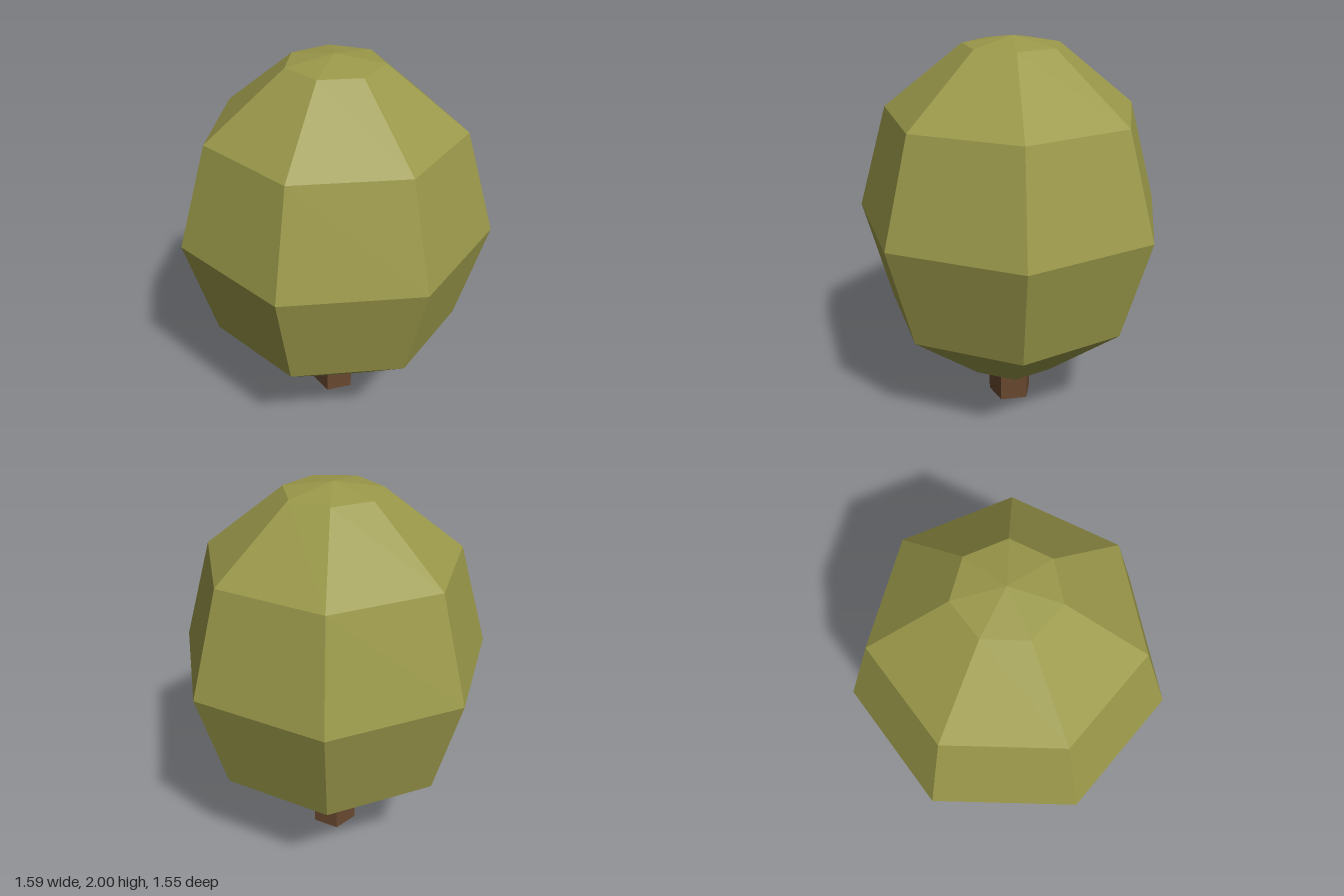
import * as THREE from 'three';

export function createModel() {
  const leafGreen = new THREE.MeshStandardMaterial({ color: 0x9b994a, flatShading: true });
  leafGreen.name = 'leafGreen';
  const barkBrown = new THREE.MeshStandardMaterial({ color: 0x68482f, flatShading: true });
  barkBrown.name = 'barkBrown';

  const tree = new THREE.Group();
  tree.name = 'tree';

  // Seven-sided crown, mirrored above and below its widest ring
  const middle = 1.085;
  const upper = [[0.815, 0], [0.66, 0.54], [0.25, 0.872], [0, 0.915]];
  const lower = upper.slice(1).reverse().map(([r, h]) => [r, -h]);
  const profile = [...lower, ...upper].map(([r, h]) => new THREE.Vector2(r, h));
  const crown = new THREE.Mesh(new THREE.LatheGeometry(profile, 7), leafGreen);
  crown.name = 'crown';
  crown.position.set(0, middle, -0.043);
  tree.add(crown);

  // Five-sided trunk, its top hidden inside the crown
  const trunkHeight = 0.4;
  const trunk = new THREE.Mesh(new THREE.CylinderGeometry(0.121, 0.121, trunkHeight, 5), barkBrown);
  trunk.name = 'trunk';
  trunk.position.set(0, trunkHeight / 2, -0.042);
  tree.add(trunk);

  return tree;
}
